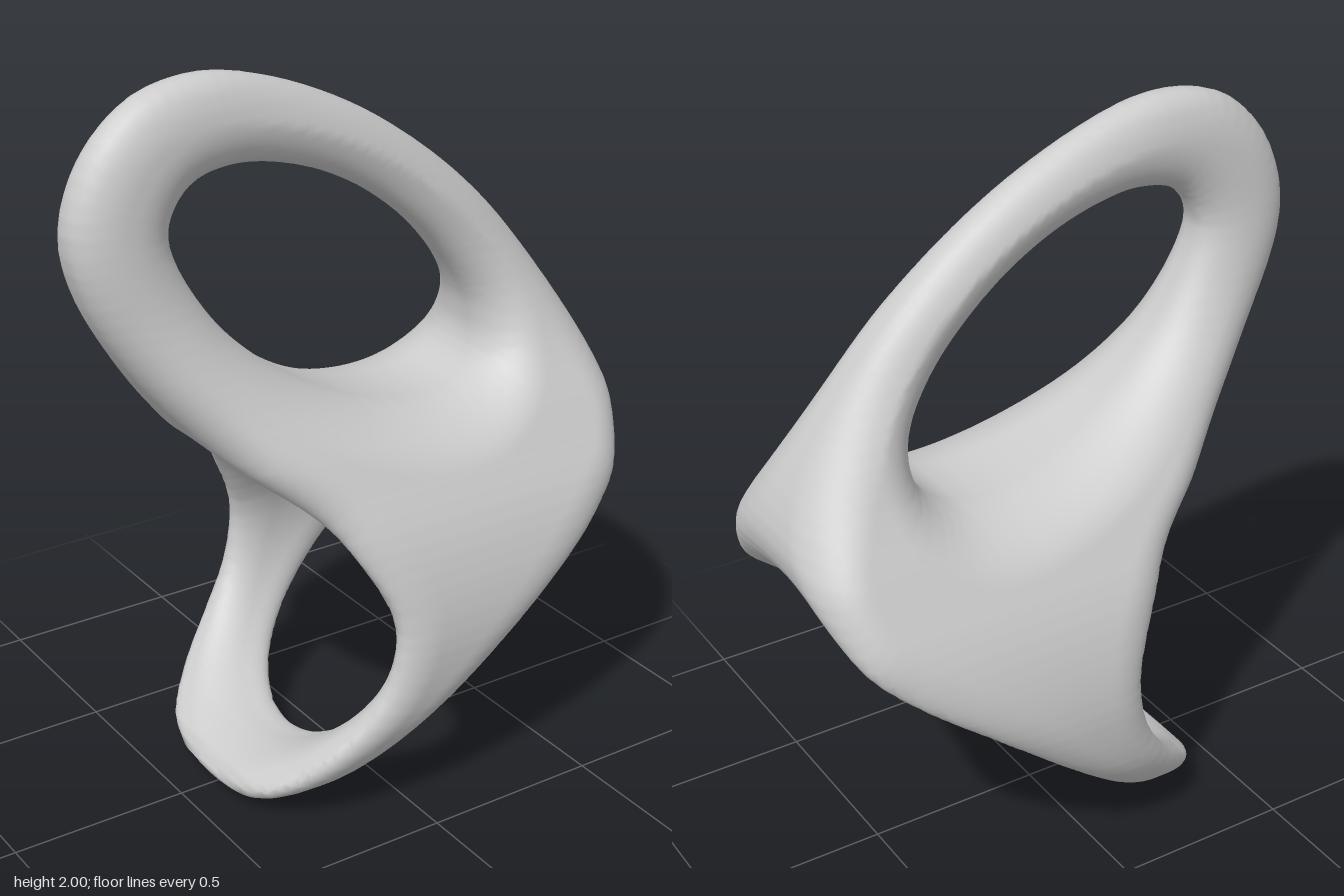
import * as THREE from 'three';

const { smoothstep } = THREE.MathUtils;

// Closed smooth outline through a few points, as a flat list of segments
function outline(points, samples = 90) {
  const curve = new THREE.CatmullRomCurve3(
    points.map(([x, y]) => new THREE.Vector3(x, y, 0)), true, 'centripetal');
  return curve.getSpacedPoints(samples).slice(0, -1);
}

// Signed distance to a closed outline, negative inside
function distance(poly, x, y) {
  let best = Infinity, inside = false;
  for (let i = 0, j = poly.length - 1; i < poly.length; j = i++) {
    const a = poly[j], b = poly[i];
    const ex = b.x - a.x, ey = b.y - a.y, px = x - a.x, py = y - a.y;
    const t = Math.min(1, Math.max(0, (px * ex + py * ey) / (ex * ex + ey * ey)));
    best = Math.min(best, (px - ex * t) ** 2 + (py - ey * t) ** 2);
    if ((a.y > y) !== (b.y > y) && px < (py / ey) * ex) inside = !inside;
  }
  return Math.sqrt(best) * (inside ? -1 : 1);
}

// Side-on outline of the whole body (x, y)
const body = outline([
  [-0.415, 0.05], [-0.3, 0.17], [-0.17, 0.31], [-0.1, 0.43], [-0.08, 0.6], [-0.2, 0.82],
  [-0.4, 1.01], [-0.6, 1.25], [-0.74, 1.5], [-0.77, 1.67], [-0.71, 1.84], [-0.58, 1.96],
  [-0.4, 2.0], [-0.2, 1.965], [0.1, 1.83], [0.4, 1.6], [0.64, 1.31], [0.75, 1.1],
  [0.765, 0.97], [0.71, 0.83], [0.6, 0.725], [0.4, 0.57], [0.2, 0.405], [0, 0.23],
  [-0.17, 0.06], [-0.25, -0.05], [-0.36, -0.06],
], 120);

// Slanted oval opening of the upper loop (x, y)
const opening = outline([
  [-0.5, 1.62], [-0.44, 1.725], [-0.31, 1.76], [-0.1, 1.72], [0.12, 1.605], [0.3, 1.44],
  [0.4, 1.27], [0.395, 1.15], [0.32, 1.08], [0.2, 1.06], [0, 1.1], [-0.22, 1.22], [-0.4, 1.4],
]);

// Teardrop outline across the body (z, y), mirrored about z = 0
const half = [
  [0.08, 2.15], [0.082, 1.9], [0.1, 1.6], [0.13, 1.4], [0.2, 1.2], [0.31, 1.0],
  [0.415, 0.8], [0.463, 0.63], [0.472, 0.48], [0.435, 0.28], [0.33, 0.12], [0.17, 0.03],
];
const teardrop = outline([...half, [0, 0], ...half.map(([z, y]) => [-z, y]).reverse()], 120);

// The solid: both outlines intersected, both holes cut, all edges rounded
function solid(x, y, z) {
  const flat = Math.max(distance(body, x, y), -distance(opening, x, y));
  const skin = distance(teardrop, z, y);
  const bore = 0.37 - Math.hypot(y - 0.495, z);
  const flatRound = 0.07 + 0.06 * smoothstep(y, 0.1, 0.9);
  const skinRound = 0.05 + 0.1 * smoothstep(y, 0.6, 1.1) - 0.065 * smoothstep(y, 1.1, 1.6);
  const boreRound = 0.05 + 0.17 * smoothstep(y, 0.65, 1.0);
  return Math.hypot(
    Math.max(0, flat / flatRound + 1),
    Math.max(0, skin / skinRound + 1),
    Math.max(0, bore / boreRound + 1)) - 1;
}

function gradient([x, y, z], e = 0.003) {
  return [
    (solid(x + e, y, z) - solid(x - e, y, z)) / (2 * e),
    (solid(x, y + e, z) - solid(x, y - e, z)) / (2 * e),
    (solid(x, y, z + e) - solid(x, y, z - e)) / (2 * e),
  ];
}

// Skin the solid: one vertex per crossed grid cell, pulled onto the surface
function skinGeometry(step, origin, size) {
  const n = size.map((s) => Math.ceil(s / step) + 1);
  const stride = [1, n[0], n[0] * n[1]];
  const at = (i, j, k) => i + j * stride[1] + k * stride[2];
  const value = new Float32Array(n[0] * n[1] * n[2]);
  for (let k = 0; k < n[2]; k++)
    for (let j = 0; j < n[1]; j++)
      for (let i = 0; i < n[0]; i++)
        value[at(i, j, k)] = solid(origin[0] + i * step, origin[1] + j * step, origin[2] + k * step);

  const positions = [], normals = [], indices = [];
  const cell = new Int32Array(value.length).fill(-1);
  for (let k = 0; k < n[2] - 1; k++)
    for (let j = 0; j < n[1] - 1; j++)
      for (let i = 0; i < n[0] - 1; i++) {
        // Average the crossings on the twelve cell edges
        const base = at(i, j, k), sum = [0, 0, 0];
        let count = 0;
        for (let c = 0; c < 8; c++)
          for (let d = 0; d < 3; d++) {
            if (c & (1 << d)) continue;
            const o = [c & 1, (c >> 1) & 1, c >> 2];
            const p = base + o[0] + o[1] * stride[1] + o[2] * stride[2];
            const a = value[p], b = value[p + stride[d]];
            if ((a < 0) === (b < 0)) continue;
            o[d] += a / (a - b);
            for (let m = 0; m < 3; m++) sum[m] += o[m];
            count++;
          }
        if (!count) continue;
        const p = [i, j, k].map((g, m) => origin[m] + (g + sum[m] / count) * step);
        for (let pass = 0; pass < 2; pass++) {
          const g = gradient(p);
          const move = solid(...p) / Math.max(1e-6, g[0] ** 2 + g[1] ** 2 + g[2] ** 2);
          const limit = Math.min(1, (0.5 * step) / (Math.abs(move) * Math.hypot(...g) + 1e-9));
          for (let m = 0; m < 3; m++) p[m] -= move * limit * g[m];
        }
        const g = gradient(p, 0.008), length = Math.hypot(...g) || 1;
        cell[base] = positions.length / 3;
        positions.push(...p);
        normals.push(g[0] / length, g[1] / length, g[2] / length);
      }

  // One quad around every crossed grid edge
  for (let k = 1; k < n[2] - 1; k++)
    for (let j = 1; j < n[1] - 1; j++)
      for (let i = 1; i < n[0] - 1; i++)
        for (let d = 0; d < 3; d++) {
          const p = at(i, j, k), inside = value[p] < 0;
          if (inside === (value[p + stride[d]] < 0)) continue;
          const u = stride[(d + 1) % 3], v = stride[(d + 2) % 3];
          const q = [p - u - v, p - v, p, p - u].map((c) => cell[c]);
          if (!inside) q.reverse();
          indices.push(q[0], q[1], q[2], q[0], q[2], q[3]);
        }

  const geometry = new THREE.BufferGeometry();
  geometry.setAttribute('position', new THREE.Float32BufferAttribute(positions, 3));
  geometry.setAttribute('normal', new THREE.Float32BufferAttribute(normals, 3));
  geometry.setIndex(indices);
  return geometry;
}

export function createModel() {
  const group = new THREE.Group();
  group.name = 'loopedRing';
  const ring = new THREE.Mesh(
    skinGeometry(0.02, [-0.85, -0.06, -0.53], [1.7, 2.14, 1.06]),
    new THREE.MeshStandardMaterial({ color: 0xcccccc }));
  ring.name = 'ringBody';
  group.add(ring);
  return group;
}
